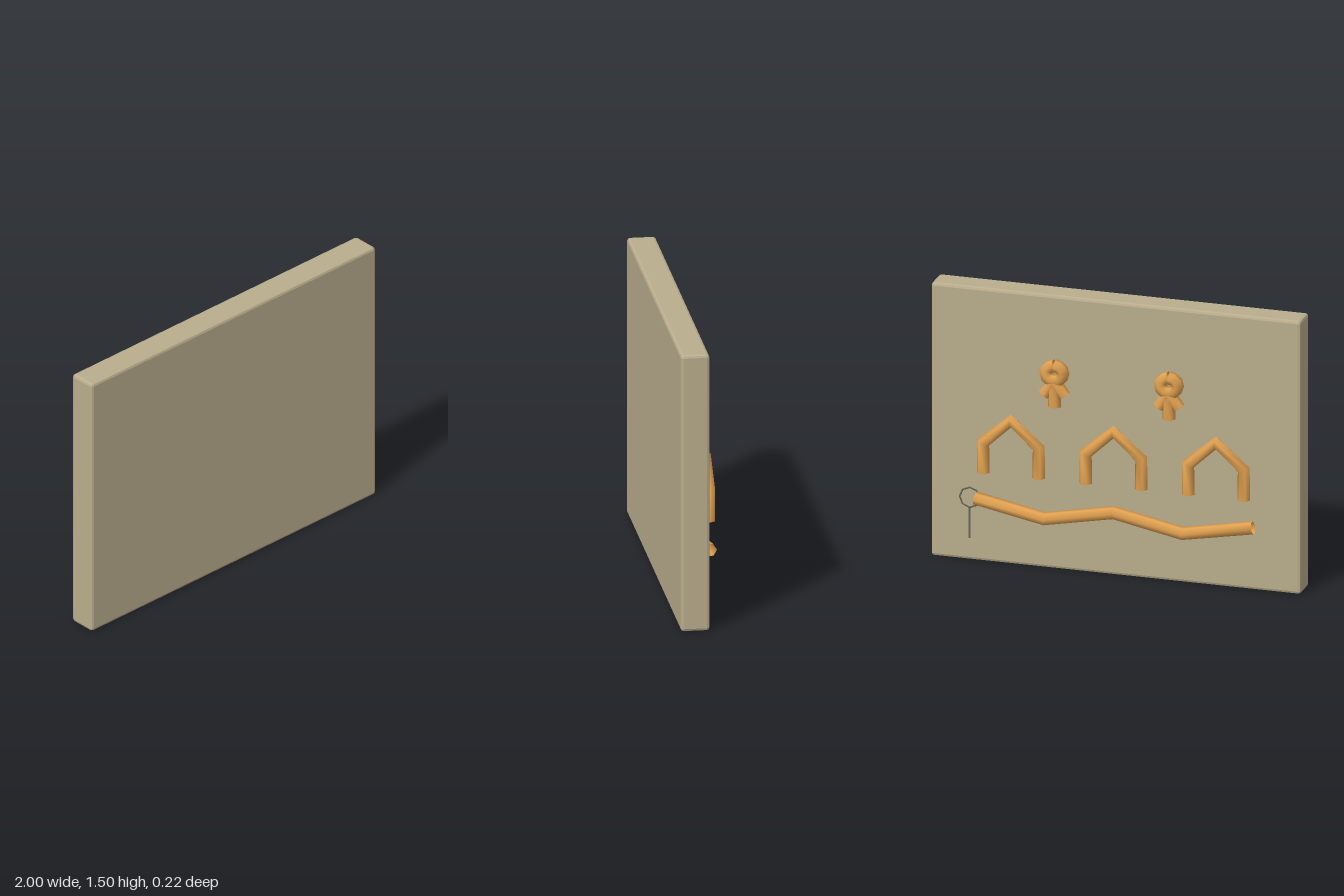
import * as THREE from 'three';
import { RoundedBoxGeometry } from 'three/addons/geometries/RoundedBoxGeometry.js';

const RELIEF_Z = -0.075, TUBE_R = 0.035, SIDES = 6;

// Open six-sided tube along a flat polyline; phase turns the hexagon
function tube(points, phase, radius = TUBE_R) {
  const pos = [], index = [];
  const pts = points.map(([x, y]) => new THREE.Vector3(x, y, 0));
  const dir = (i) => pts[i + 1].clone().sub(pts[i]).normalize();
  const last = pts.length - 1;
  pts.forEach((p, i) => {
    const t = new THREE.Vector3();
    if (i > 0) t.add(dir(i - 1));
    if (i < last) t.add(dir(i));
    t.normalize();
    for (let j = 0; j < SIDES; j++) {
      const a = phase + (j / SIDES) * Math.PI * 2;
      const n = Math.cos(a) * radius;
      pos.push(p.x - t.y * n, p.y + t.x * n, Math.sin(a) * radius);
      if (i < last) {
        const k = (j + 1) % SIDES, r = i * SIDES, s = r + SIDES;
        index.push(r + j, r + k, s + j, r + k, s + k, s + j);
      }
    }
  });
  const g = new THREE.BufferGeometry();
  g.setAttribute('position', new THREE.Float32BufferAttribute(pos, 3));
  g.setIndex(index);
  g.computeVertexNormals();
  return g;
}

export function createModel() {
  const model = new THREE.Group();
  model.name = 'reliefPanel';
  const stone = new THREE.MeshStandardMaterial({ color: 0xb9ad8c, flatShading: true });
  const amber = new THREE.MeshStandardMaterial({ color: 0xe0a050, side: THREE.DoubleSide });
  const dark = new THREE.MeshStandardMaterial({ color: 0x66645a });

  const add = (parent, name, geometry, material, x = 0, y = 0, z = 0) => {
    const mesh = new THREE.Mesh(geometry, material);
    mesh.name = name;
    mesh.position.set(x, y, z);
    parent.add(mesh);
    return mesh;
  };

  // Chamfered slab
  add(model, 'panel', new RoundedBoxGeometry(2, 1.5, 0.15, 1, 0.015), stone, 0, 0.75, 0.0375);

  const flat = Math.PI / 6;

  // Zigzag path along the bottom
  const path = [[-0.755, 0.355], [-0.375, 0.283], [0, 0.357], [0.375, 0.283], [0.75, 0.357]];
  add(model, 'windingPath', tube(path, flat), amber, 0, 0, RELIEF_Z);

  // Three pointed arches
  const arch = tube([[-0.15, 0.503], [-0.15, 0.668], [0, 0.8], [0.15, 0.668], [0.15, 0.503]], 0);
  for (const x of [-0.555, 0, 0.555]) add(model, 'arch', arch, amber, x, 0, RELIEF_Z);

  // Two loop-headed figures with fanned tails
  const loop = [];
  for (let i = 0; i <= 12; i++) {
    const a = Math.PI / 2 + (i / 12) * Math.PI * 2;
    loop.push([0.046 * Math.cos(a), 1.088 + 0.042 * Math.sin(a)]);
  }
  const loopGeo = tube(loop, flat);
  const stemGeo = tube([[0, 1.03], [0, 0.905]], 0);
  for (const x of [-0.3, 0.32]) {
    const figure = new THREE.Group();
    figure.name = 'loopFigure';
    figure.position.set(x, 0, RELIEF_Z);
    add(figure, 'loop', loopGeo, amber);
    add(figure, 'stem', stemGeo, amber);
    for (const s of [-1, 1]) {
      add(figure, 'tail', tube([[0, 1.04], [s * 0.055, 0.968]], flat, 0.034), amber);
    }
    model.add(figure);
  }

  // Thin ring on a stick, set into the back face
  add(model, 'markerRing', new THREE.TorusGeometry(0.055, 0.005, 6, 8), dark, 0.79, 0.343, -0.037);
  add(model, 'markerStick', new THREE.BoxGeometry(0.01, 0.17, 0.008), dark, 0.79, 0.205, -0.037);

  return model;
}
